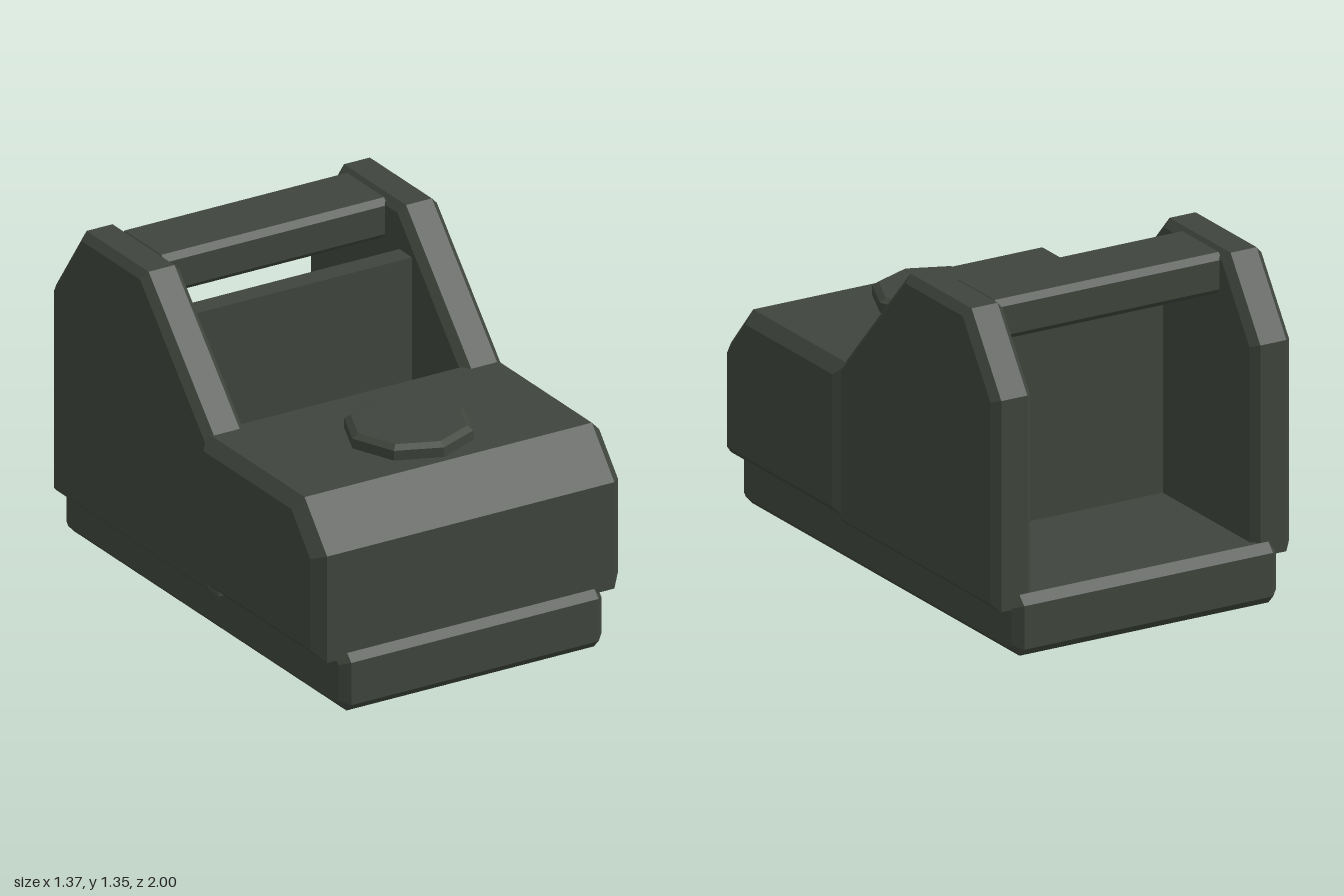
import * as THREE from 'three';

const green = new THREE.MeshStandardMaterial({ color: 0x3f453d });
green.name = 'dark olive green';

// Side profile of [z, y] points, extruded across x between x0 and x1 with chamfered ends.
function bevelledProfile(name, points, x0, x1, bevel) {
  const shape = new THREE.Shape(points.map(([z, y]) => new THREE.Vector2(z, y)));
  const depth = x1 - x0 - 2 * bevel;
  const geometry = new THREE.ExtrudeGeometry(shape, {
    depth, bevelEnabled: true, bevelThickness: bevel, bevelSize: bevel,
    bevelOffset: -bevel, bevelSegments: 1,
  });
  geometry.translate(0, 0, -depth / 2);
  geometry.rotateY(-Math.PI / 2);
  geometry.translate((x0 + x1) / 2, 0, 0);
  return named(name, geometry);
}

function named(name, geometry) {
  const flat = geometry.index ? geometry.toNonIndexed() : geometry;
  flat.computeVertexNormals();
  const mesh = new THREE.Mesh(flat, green);
  mesh.name = name;
  return mesh;
}

// Rectangle in z and y with its four corners cut by c.
function cutRect(z0, z1, y0, y1, c) {
  return [
    [z0 + c, y0], [z1 - c, y0], [z1, y0 + c], [z1, y1 - c],
    [z1 - c, y1], [z0 + c, y1], [z0, y1 - c], [z0, y0 + c],
  ];
}

export function createModel() {
  const model = new THREE.Group();
  model.name = 'boxyMachine';

  // Base slab, chamfered on every edge
  model.add(bevelledProfile('base', cutRect(-1, 1, 0, 0.245, 0.035), -0.585, 0.585, 0.035));

  // Front block with sloped nose
  model.add(bevelledProfile('frontBlock', [
    [0.12, 0.22], [0.97, 0.22], [0.97, 0.66], [0.81, 0.845], [0.12, 0.845],
  ], -0.685, 0.685, 0.046));

  // Octagonal cap on the front block
  const cap = new THREE.Group();
  cap.name = 'cap';
  const rim = named('capRim', new THREE.CylinderGeometry(0.25, 0.25, 0.06, 8));
  rim.position.y = 0.855;
  const top = named('capTop', new THREE.CylinderGeometry(0.225, 0.25, 0.017, 8));
  top.position.y = 0.8935;
  cap.add(rim, top);
  cap.position.z = 0.53;
  model.add(cap);

  // Tall side panels
  const panel = [
    [0.185, 0.19], [0.185, 0.81], [-0.31, 1.345], [-0.75, 1.345], [-0.965, 1.04], [-0.965, 0.19],
  ];
  model.add(bevelledProfile('leftPanel', panel, 0.485, 0.66, 0.03));
  model.add(bevelledProfile('rightPanel', panel, -0.66, -0.485, 0.03));

  // Upright partition between the panels
  const wall = named('partition', new THREE.BoxGeometry(1.04, 0.95, 0.09));
  wall.position.set(0, 0.695, -0.265);
  model.add(wall);

  // Crossbar joining the panel tops
  model.add(bevelledProfile('crossbar', cutRect(-0.72, -0.41, 1.17, 1.335, 0.024), -0.515, 0.515, 0.02));

  return model;
}
